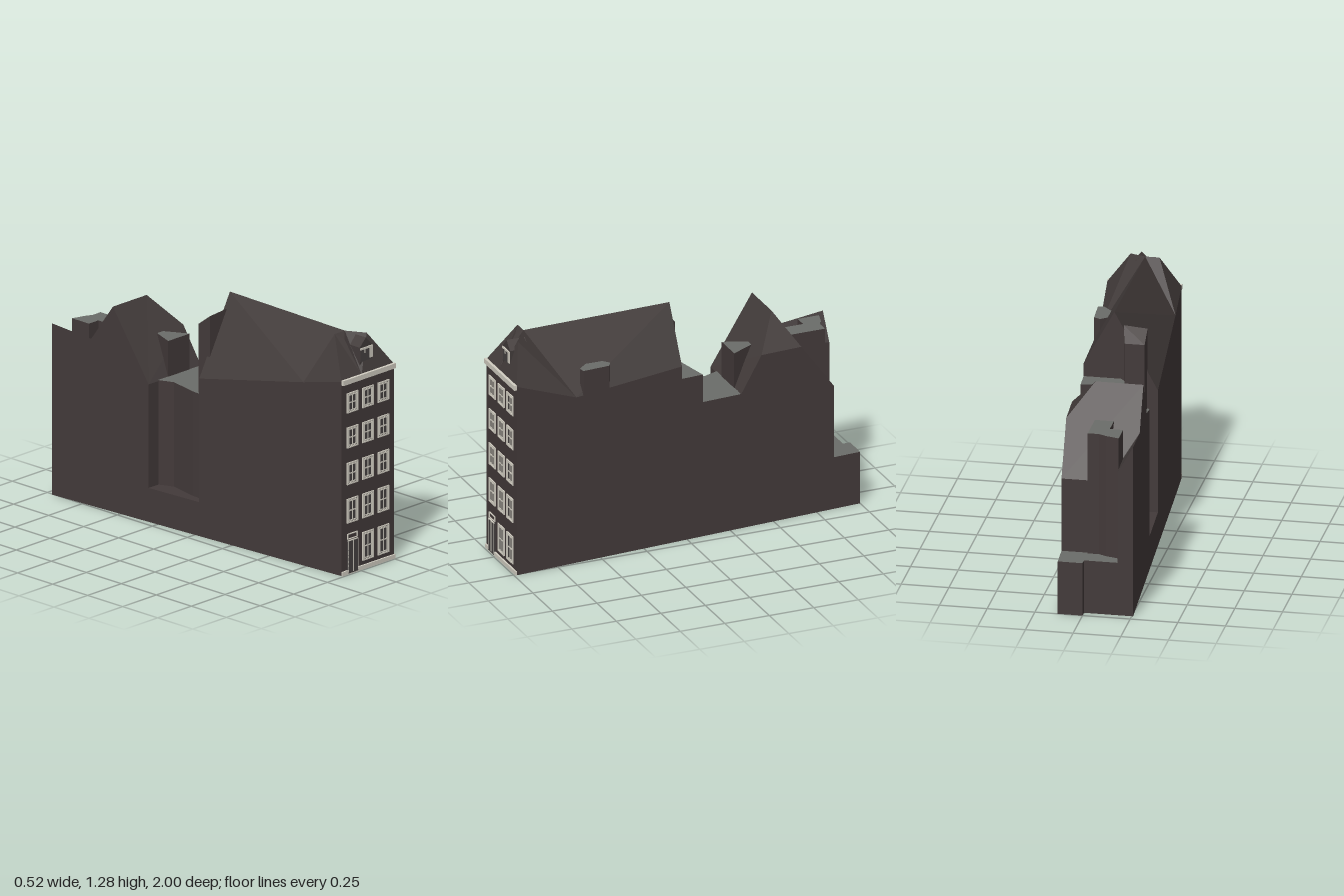
import * as THREE from 'three';

const mat = (name, color) => {
  const m = new THREE.MeshStandardMaterial({ color, side: THREE.DoubleSide, flatShading: true });
  m.name = name;
  return m;
};

export function createModel() {
  const house = new THREE.Group();
  house.name = 'canalHouse';
  const wall = mat('darkBrick', 0x433a3a);
  const roof = mat('darkTile', 0x423b3a);
  const stone = mat('flatRoofGrey', 0x6b6d69);
  const trim = mat('paleTrim', 0xd2cec2);
  const glass = mat('darkGlass', 0x454141);

  // The plot is slanted: both long walls shift sideways with z
  const L = (z) => -0.195 + 0.065 * z;
  const R = (z) => 0.195 + 0.065 * z;
  const F = 0.985;

  const add = (name, geo, material, parent = house) => {
    const m = new THREE.Mesh(geo, material);
    m.name = name;
    parent.add(m);
    return m;
  };

  // Flat-sided surface from a list of polygons, each drawn as a fan
  const surface = (name, material, polys) => {
    const pos = [];
    for (const p of polys)
      for (let i = 1; i < p.length - 1; i++) pos.push(...p[0], ...p[i], ...p[i + 1]);
    const g = new THREE.BufferGeometry();
    g.setAttribute('position', new THREE.Float32BufferAttribute(pos, 3));
    g.computeVertexNormals();
    return add(name, g, material);
  };

  // Upright block over a plan of [x, z, topY] corners
  const block = (name, plan, y0, topMat = stone, sideMat = wall) => {
    const sides = plan.map(([x, z, y], i) => {
      const [x2, z2, y2] = plan[(i + 1) % plan.length];
      return [[x, y0, z], [x2, y0, z2], [x2, y2, z2], [x, y, z]];
    });
    const tris = THREE.ShapeUtils.triangulateShape(plan.map(([x, z]) => new THREE.Vector2(x, z)), []);
    const cap = (f) => tris.map((t) => t.map((i) => f(plan[i])));
    if (y0 === 0) sides.push(...cap(([x, z]) => [x, 0, z]));
    surface(name + 'Walls', sideMat, sides);
    if (topMat) surface(name + 'Top', topMat, cap(([x, z, y]) => [x, y, z]));
  };
  const level = (pts, y) => pts.map(([x, z]) => [x, z, y]);

  // Front house: walls, then the long ridge roof
  const eaves = { lf: 1.0, lb: 0.86, rf: 0.93, rb: 0.98 };
  block('frontHouse', [
    [L(1), F, 1.06], [R(1), F, 1.06], [R(0.64), 0.64, eaves.rf], [R(0.03), 0.03, eaves.rb],
    [L(0.03), 0.03, eaves.lb], [L(0.73), 0.73, eaves.lf],
  ], 0, null);
  const ridgeF = [0.035, 1.265, 0.85], ridgeB = [0.035, 1.277, 0.03];
  const lf = [L(0.73), eaves.lf, 0.73], lb = [L(0.03), eaves.lb, 0.03];
  const rf = [R(0.64), eaves.rf, 0.64], rb = [R(0.03), eaves.rb, 0.03];
  surface('mainRoof', roof, [[lf, lb, ridgeB, ridgeF], [rf, ridgeF, ridgeB, rb]]);
  surface('rearGable', wall, [[lb, rb, ridgeB]]);

  // Broken hip with two side peaks behind the cornice
  const a = [L(1), 1.06, F], b = [R(1), 1.06, F], m = [0.02, 1.06, F];
  const peakL = [-0.04, 1.265, 0.85], peakR = [0.125, 1.248, 0.92], dip = [0.0, 1.235, 0.88];
  surface('frontHip', roof, [
    [a, peakL, lf], [peakL, ridgeF, lf], [a, m, peakL], [m, dip, peakL], [dip, ridgeF, peakL],
    [m, ridgeF, dip], [b, rf, peakR], [peakR, rf, ridgeF], [m, b, peakR], [m, peakR, ridgeF],
  ]);

  // Small gabled dormer in the front hip
  const d = 0.962;
  const gable = [[0.03, 1.07], [0.12, 1.07], [0.12, 1.2], [0.075, 1.245], [0.03, 1.2]];
  surface('frontDormer', roof, [
    gable.map(([x, y]) => [x, y, d]),
    ...gable.map(([x, y], i) => {
      const [x2, y2] = gable[(i + 1) % 5];
      return [[x, y, d], [x2, y2, d], [x2, y2, 0.86], [x, y, 0.86]];
    }),
  ]);

  // Side dormer and the stepped pieces behind the main roof
  block('sideDormer', level([[0.155, 0.46], [0.19, 0.43], [R(0.45), 0.45], [R(0.6), 0.6], [0.2, 0.605], [0.15, 0.55]], 1.07), 0.9);
  block('rearParapet', [[-0.135, 0.05, 1.19], [-0.01, 0.05, 1.2], [-0.03, -0.03, 1.13], [-0.135, -0.03, 1.13]], 0.19, roof);
  block('stairHead', level([[0, 0.03], [R(0.03), 0.03], [R(-0.09), -0.09], [-0.06, -0.04]], 0.91), 0.7);
  block('linkWing', level([[-0.15, 0.03], [R(0.03), 0.03], [R(-0.31), -0.31], [-0.15, -0.33], [-0.11, -0.23], [-0.145, -0.06]], 0.755), 0);
  block('lightWell', level([[L(0.03), 0.03], [-0.1, 0.03], [-0.1, -0.31], [L(-0.31), -0.31]], 0.185), 0, wall);

  // Rear house: half-hipped roof with its ridge across the plot
  block('rearHouse', [
    [L(-0.31), -0.31, 0.75], [R(-0.31), -0.31, 0.75], [R(-0.43), -0.43, 0.95], [R(-0.66), -0.66, 0.95],
    [R(-0.85), -0.85, 0.69], [L(-0.85), -0.85, 0.69], [L(-0.55), -0.55, 1.12],
  ], 0, null);
  const hipTop = [0.02, 1.12, -0.55], end = [L(-0.55), 1.12, -0.55];
  const hipF = [R(-0.43), 0.95, -0.43], hipB = [R(-0.66), 0.95, -0.66];
  surface('rearRoof', roof, [
    [[L(-0.31), 0.75, -0.31], [R(-0.31), 0.75, -0.31], hipF, hipTop, end],
    [end, hipTop, hipB, [R(-0.85), 0.69, -0.85], [L(-0.85), 0.69, -0.85]],
    [hipTop, hipF, hipB],
  ]);
  block('rearFrontDormer', level([[-0.02, -0.44], [0.02, -0.44], [0.09, -0.31], [-0.07, -0.31]], 0.95), 0.75);
  block('rearBackDormer', level([
    [-0.17, -0.9], [-0.1, -0.88], [-0.06, -0.86], [0, -0.86], [0, -0.67], [-0.1, -0.67], [-0.1, -0.78], [-0.17, -0.78],
  ], 0.955), 0.2);
  block('rearFin', [[L(-0.69), -0.69, 0.91], [L(-0.96), -0.96, 0.935], [-0.175, -0.96, 0.79], [-0.17, -0.76, 0.8]], 0, roof);
  block('rearAnnex', level([[-0.18, -0.84], [R(-0.84), -0.84], [R(-1), -1], [0, -1], [0, -0.96], [-0.18, -0.96]], 0.29), 0);

  // Facade trim
  const plate = (name, x0, x1, y0, y1, z, depth, material, parent) =>
    add(name, new THREE.BoxGeometry(x1 - x0, y1 - y0, depth), material, parent)
      .position.set((x0 + x1) / 2, (y0 + y1) / 2, z + depth / 2);
  plate('plinth', L(1), R(1), 0, 0.022, F, 0.009, trim);
  plate('cornice', L(1), R(1), 1.04, 1.067, F, 0.015, trim);

  const rect = (T, x0, x1, y0, y1) => new T([[x0, y0], [x1, y0], [x1, y1], [x0, y1]].map(([x, y]) => new THREE.Vector2(x, y)));
  const frame = (name, outer, holes, z, parent) => {
    const s = rect(THREE.Shape, ...outer);
    s.holes = holes.map((h) => rect(THREE.Path, ...h));
    add(name, new THREE.ExtrudeGeometry(s, { depth: 0.006, bevelEnabled: false }), trim, parent).position.z = z;
  };
  const inset = ([x0, x1, y0, y1], t) => [x0 + t, x1 - t, y0 + t, y1 - t];

  // Window: outer casing, thin gap, sash with four panes
  const makeWindow = (x0, x1, y0, y1) => {
    const g = new THREE.Group();
    g.name = 'window';
    house.add(g);
    const box = [x0, x1, y0, y1];
    plate('pane', ...inset(box, 0.004), F, 0.002, glass, g);
    frame('casing', box, [inset(box, 0.007)], F, g);
    const sash = inset(box, 0.01), [l, r, bot, top] = inset(sash, 0.006);
    const cx = (x0 + x1) / 2, cy = bot + (top - bot) * 0.5, t = 0.003;
    frame('sash', sash, [
      [l, cx - t, bot, cy - t], [cx + t, r, bot, cy - t], [l, cx - t, cy + t, top], [cx + t, r, cy + t, top],
    ], F - 0.001, g);
  };
  const floors = [[0.045, 0.2], [0.277, 0.41], [0.487, 0.607], [0.687, 0.8], [0.878, 0.987]];
  floors.forEach(([y0, y1], floor) => {
    [-0.051, 0.064, 0.178].forEach((x, col) => {
      if (floor || col) makeWindow(x - 0.041, x + 0.041, y0, y1);
    });
  });

  // Front door with fanlight
  plate('doorLeaf', -0.088, -0.014, 0.005, 0.183, F, 0.0095, glass);
  for (const x of [-0.088, -0.056, -0.05, -0.018])
    plate('doorStrip', x, x + 0.003, 0.01, 0.183, F + 0.004, 0.0065, trim);
  plate('doorHead', -0.088, -0.014, 0.18, 0.184, F + 0.004, 0.0065, trim);
  frame('fanlight', [-0.088, -0.014, 0.188, 0.219], [[-0.083, -0.019, 0.192, 0.214]], F);

  // Dormer window frame
  plate('dormerPane', 0.036, 0.114, 1.12, 1.19, d, 0.002, glass);
  plate('dormerHead', 0.03, 0.12, 1.185, 1.195, d, 0.006, trim);
  plate('dormerMullion', 0.062, 0.068, 1.165, 1.185, d, 0.006, trim);
  plate('dormerJamb', 0.1, 0.12, 1.13, 1.185, d, 0.006, trim);
  return house;
}
